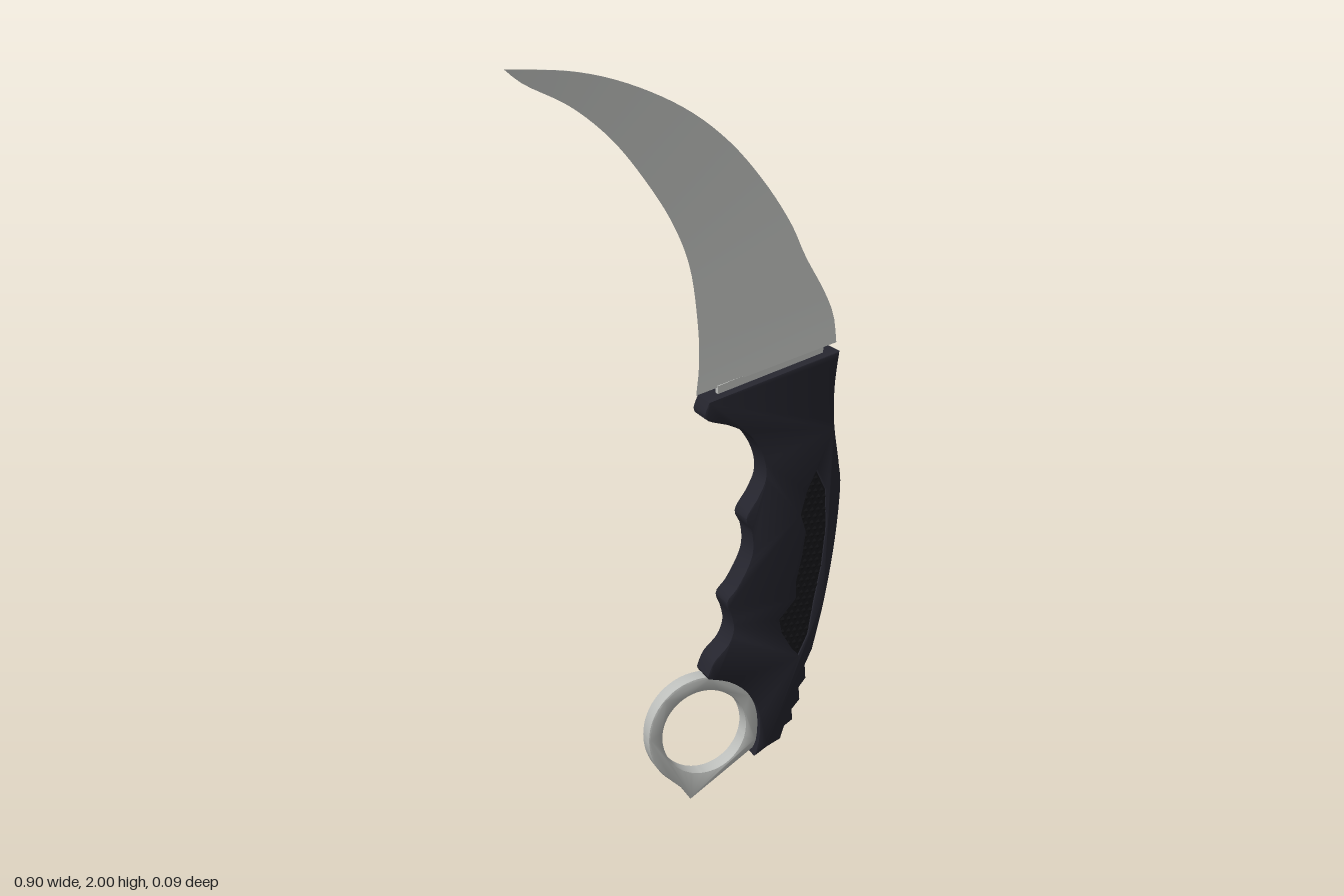
import * as THREE from 'three';
import { mergeGeometries, toCreasedNormals } from 'three/addons/utils/BufferGeometryUtils.js';

const steel = new THREE.MeshStandardMaterial({ color: 0xbcbebb });
steel.name = 'steel';
const gripDark = new THREE.MeshStandardMaterial({ color: 0x25252e });
gripDark.name = 'grip dark';
const inlayBlack = new THREE.MeshStandardMaterial({ color: 0x151518 });
inlayBlack.name = 'inlay black';

const vecs = (list) => list.map(([x, y]) => new THREE.Vector2(x, y));
const smooth = (list, n) => new THREE.SplineCurve(vecs(list)).getSpacedPoints(n);

function part(name, geometry, material) {
  const mesh = new THREE.Mesh(geometry, material);
  mesh.name = name;
  return mesh;
}

// Slab centred on z = 0, with a small bevel that stays inside the outline
function slab(shape, halfDepth, bevel, curveSegments = 12) {
  const g = new THREE.ExtrudeGeometry(shape, {
    depth: 2 * (halfDepth - bevel), curveSegments,
    bevelEnabled: bevel > 0, bevelSize: bevel, bevelThickness: bevel, bevelOffset: -bevel, bevelSegments: 2,
  });
  g.translate(0, 0, -(halfDepth - bevel));
  return toCreasedNormals(g, 0.6);
}

// Wedge-section blade: sharp inner edge, flat spine thinning to the tip
function bladeGeometry() {
  const n = 40;
  const spine = smooth([[0.43, 1.265], [0.42, 1.34], [0.39, 1.41], [0.338, 1.5], [0.295, 1.59], [0.22, 1.7],
    [0.125, 1.805], [0.01, 1.89], [-0.135, 1.955], [-0.28, 1.99], [-0.45, 2]], n);
  const edge = smooth([[0.042, 1.15], [0.05, 1.235], [0.046, 1.34], [0.025, 1.485], [-0.02, 1.6], [-0.09, 1.71],
    [-0.18, 1.82], [-0.285, 1.905], [-0.4, 1.962], [-0.45, 2]], n);
  const pos = [];
  const tri = (...p) => p.forEach((v) => pos.push(...v));
  const quad = (a, b, c, d) => { tri(a, b, c); tri(a, c, d); };
  const section = (i) => {
    const t = 0.001 + 0.023 * (1 - i / n);
    return [[edge[i].x, edge[i].y, 0], [spine[i].x, spine[i].y, t], [spine[i].x, spine[i].y, -t]];
  };
  for (let i = 0; i < n; i++) {
    const [e, f, b] = section(i);
    const [e2, f2, b2] = section(i + 1);
    quad(e, f, f2, e2);
    quad(f, b, b2, f2);
    quad(b, e, e2, b2);
  }
  const [e, f, b] = section(0);
  tri(e, b, f);
  const g = new THREE.BufferGeometry();
  g.setAttribute('position', new THREE.Float32BufferAttribute(pos, 3));
  return toCreasedNormals(g, 0.5);
}

// Is point (x, y) inside the polygon?
function inside(x, y, poly) {
  let hit = false;
  poly.forEach((a, i) => {
    const b = poly[(i + 1) % poly.length];
    if ((a.y > y) !== (b.y > y) && x < a.x + (b.x - a.x) * (y - a.y) / (b.y - a.y)) hit = !hit;
  });
  return hit;
}

export function createModel() {
  const group = new THREE.Group();
  group.add(part('blade', bladeGeometry(), steel));

  // Short tang bridging the gap between blade and handle
  const tang = new THREE.Shape(vecs([[0.1, 1.1], [0.4, 1.19], [0.4, 1.262], [0.1, 1.172]]));
  group.add(part('tang', slab(tang, 0.008, 0), steel));

  // Handle outline: finger grooves, ring seat, serrated heel, back curve
  const grooves = smooth([[0.062, 1.14], [0.05, 1.105], [0.065, 1.088], [0.125, 1.07], [0.178, 1.038], [0.215, 0.98],
    [0.225, 0.92], [0.205, 0.868], [0.17, 0.81], [0.185, 0.77], [0.19, 0.72], [0.178, 0.675], [0.145, 0.615],
    [0.116, 0.578], [0.13, 0.535], [0.136, 0.495], [0.12, 0.452], [0.08, 0.41], [0.062, 0.368]], 80);
  const seat = smooth([[0.065, 0.36], [0.125, 0.343], [0.178, 0.305], [0.212, 0.245], [0.216, 0.165], [0.202, 0.108]], 16);
  const heel = vecs([[0.24, 0.13], [0.28, 0.148], [0.292, 0.185], [0.316, 0.2], [0.314, 0.232],
    [0.337, 0.258], [0.334, 0.295], [0.354, 0.32], [0.351, 0.36]]);
  const back = smooth([[0.372, 0.405], [0.405, 0.545], [0.432, 0.71], [0.445, 0.865], [0.438, 0.94],
    [0.422, 1.05], [0.421, 1.15], [0.432, 1.245]], 40);
  const handle = new THREE.Shape([...grooves, ...seat, ...heel, ...back]);

  // Textured inlay, sunk slightly into both faces
  const inlay = vecs([[0.373, 0.92], [0.347, 0.865], [0.33, 0.8], [0.346, 0.75], [0.336, 0.68], [0.32, 0.61],
    [0.32, 0.56], [0.272, 0.505], [0.28, 0.465], [0.31, 0.415], [0.33, 0.393], [0.357, 0.45], [0.373, 0.545],
    [0.394, 0.65], [0.405, 0.76], [0.4, 0.865]]);
  handle.holes.push(new THREE.Path(inlay));
  group.add(part('handle', slab(handle, 0.043, 0.004), gripDark));
  group.add(part('inlayPanel', slab(new THREE.Shape(inlay), 0.038, 0), inlayBlack));

  // Staggered rows of little pyramid studs
  const studs = [];
  const pitch = 0.018;
  for (let row = 0; row < 30; row++) {
    for (let col = 0; col < 9; col++) {
      const x = 0.265 + (col + (row % 2) / 2) * pitch;
      const y = 0.395 + row * pitch;
      if (!inside(x, y, inlay)) continue;
      for (const side of [1, -1]) {
        const stud = new THREE.ConeGeometry(0.008, 0.004, 4);
        stud.rotateX(side * Math.PI / 2).translate(x, y, side * 0.04);
        studs.push(stud);
      }
    }
  }
  group.add(part('inlayStuds', mergeGeometries(studs), inlayBlack));

  // Finger ring with a pointed spur at the bottom
  const cx = 0.06, cy = 0.198;
  const ring = new THREE.Shape();
  ring.moveTo(0.02, 0);
  ring.lineTo(0.205, 0.125);
  ring.absarc(cx, cy, 0.163, -0.42, Math.PI * 1.28, false);
  ring.lineTo(-0.008, 0.04);
  ring.closePath();
  const bore = new THREE.Path();
  bore.absarc(cx, cy, 0.122, 0, Math.PI * 2, true);
  ring.holes.push(bore);
  group.add(part('fingerRing', slab(ring, 0.025, 0.005, 40), steel));

  return group;
}
